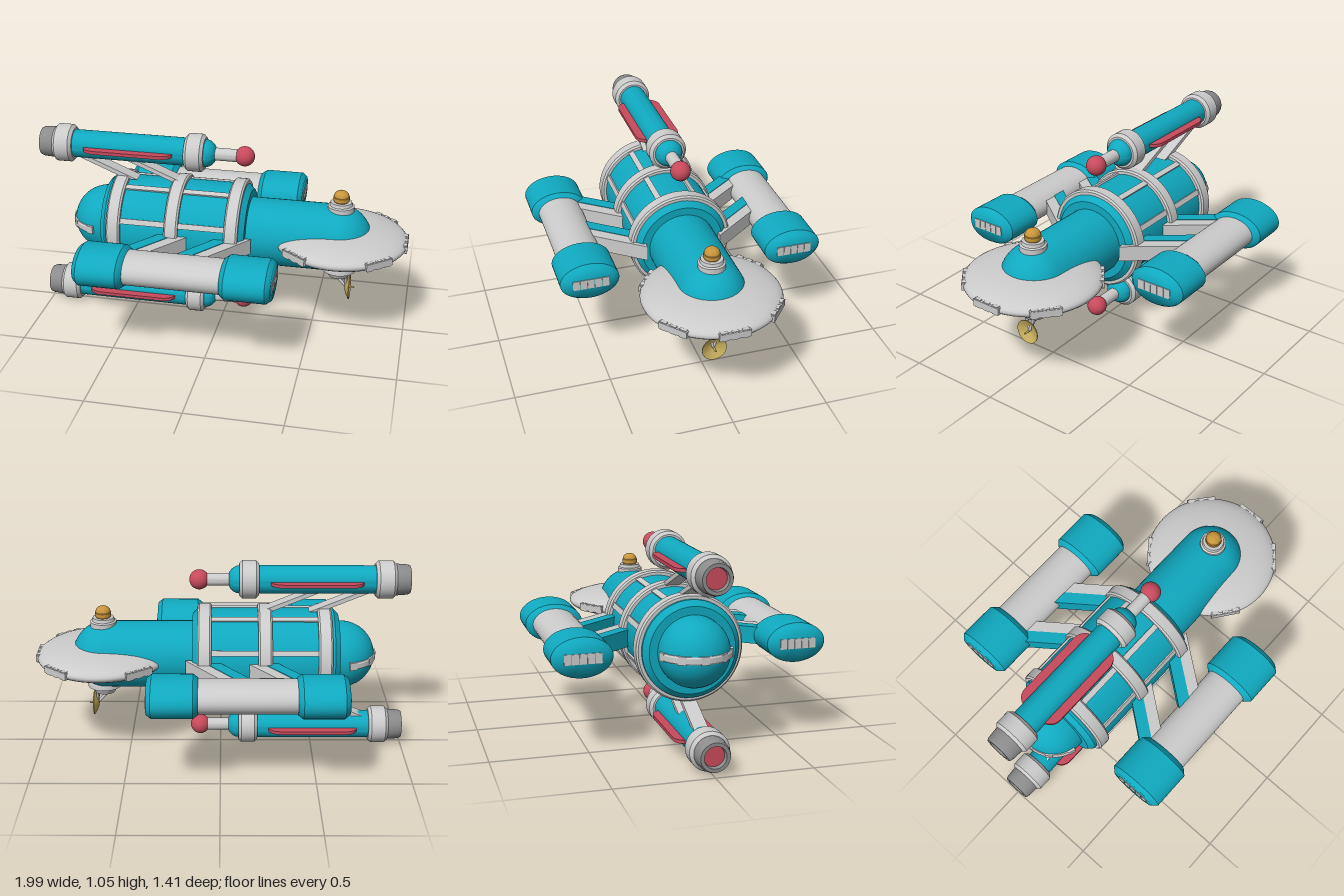
import * as THREE from 'three';
import { toCreasedNormals } from 'three/addons/utils/BufferGeometryUtils.js';

const mat = (color) => new THREE.MeshStandardMaterial({ color });
const GREY = mat(0xcccccc), DARK = mat(0x8c8c8c), TEAL = mat(0x10a9c0);
const RED = mat(0xc84a5c), GOLD = mat(0xc8963c);
const DISH = new THREE.MeshStandardMaterial({ color: 0xc8b060, side: THREE.DoubleSide });

function add(parent, name, geometry, material, x = 0, y = 0, z = 0) {
  const mesh = new THREE.Mesh(geometry, material);
  mesh.name = name;
  mesh.position.set(x, y, z);
  parent.add(mesh);
  return mesh;
}

// Turned solid from [height, radius] pairs, standing along y
function turned(profile, segments = 48) {
  const pts = profile.map(([h, r]) => new THREE.Vector2(r, h));
  return toCreasedNormals(new THREE.LatheGeometry(pts, segments), 0.5);
}
// The same, lying along x
const turnedX = (profile, segments) => turned(profile, segments).rotateZ(-Math.PI / 2);

// Quarter-round profile from the equator to the pole
function dome(at, r, length = r, n = 12) {
  return Array.from({ length: n + 1 }, (_, i) => {
    const a = (i / n) * Math.PI / 2;
    return [at + Math.sin(a) * length, i === n ? 0 : Math.cos(a) * r];
  });
}

// Chamfered solid of revolution between x0 and x1
const chamfered = (x0, x1, r, c) =>
  turnedX([[x0, 0], [x0, r - c], [x0 + c, r], [x1 - c, r], [x1, r - c], [x1, 0]]);

// Flat plate drawn in x and z, centred on y = 0
function plate(shape, thickness) {
  const g = new THREE.ExtrudeGeometry(shape, { depth: thickness, bevelEnabled: false, curveSegments: 10 });
  return g.translate(0, 0, -thickness / 2).rotateX(Math.PI / 2);
}

function quad(points) {
  return new THREE.Shape(points.map(([x, y]) => new THREE.Vector2(x, y)));
}

function buildHull(ship) {
  const hull = new THREE.Group();
  hull.name = 'hull';
  ship.add(hull);
  add(hull, 'mainHull', chamfered(-0.63, 0.15, 0.25, 0.028), TEAL);
  add(hull, 'foreHull', turnedX([[0.1, 0.18], ...dome(0.62, 0.18)]), TEAL);
  const rear = dome(0.65, 0.18).map(([x, r]) => [-x, r]).reverse();
  add(hull, 'rearDome', turnedX([...rear, [-0.6, 0.18]]), TEAL);
  for (const x of [-0.55, -0.235, 0.085]) {
    add(hull, 'hullRing', turnedX([[x - 0.037, 0.24], [x - 0.037, 0.266], [x - 0.028, 0.275],
      [x + 0.028, 0.275], [x + 0.037, 0.266], [x + 0.037, 0.24]], 64), GREY);
  }
  for (let i = 0; i < 8; i++) {
    const strip = add(hull, 'hullStrip', new THREE.BoxGeometry(0.64, 0.03, 0.03).translate(0, 0.244, 0), GREY, -0.235);
    strip.rotation.x = (i + 0.5) * Math.PI / 4;
  }
  // Band wrapped round the rear dome, with small raised blocks
  const section = [[0.165, -0.02], [0.188, -0.02], [0.193, -0.012], [0.193, 0.012], [0.188, 0.02], [0.165, 0.02]]
    .map(([r, y]) => new THREE.Vector2(r, y));
  const band = new THREE.LatheGeometry(section, 32, -Math.PI / 2 - 1.3, 2.6);
  add(hull, 'rearBand', toCreasedNormals(band, 0.5), GREY, -0.645);
  for (const a of [-1.25, -0.6, 0, 0.6, 1.25]) {
    const block = add(hull, 'bandBlock', new THREE.BoxGeometry(0.03, 0.042, 0.04), GREY,
      -0.645 - 0.178 * Math.cos(a), 0, 0.178 * Math.sin(a));
    block.rotation.y = a;
  }
}

function buildSaucer(ship) {
  const saucer = new THREE.Group();
  saucer.name = 'saucer';
  saucer.position.x = 0.635;
  ship.add(saucer);
  add(saucer, 'saucerDisc', new THREE.SphereGeometry(1, 64, 24).scale(0.357, 0.077, 0.357), GREY);
  // Rim pods, each a slim block with three raised ribs
  for (const deg of [0, 50, -50, 127, -127]) {
    const pod = new THREE.Group();
    pod.name = 'rimPod';
    pod.rotation.y = THREE.MathUtils.degToRad(deg);
    saucer.add(pod);
    add(pod, 'podBlock', new THREE.BoxGeometry(0.05, 0.036, 0.16), GREY, 0.332);
    for (const z of [-0.055, 0, 0.055]) {
      add(pod, 'podRib', new THREE.BoxGeometry(0.052, 0.046, 0.035), GREY, 0.329, 0, z);
    }
  }
}

function buildTurrets(ship) {
  const top = new THREE.Group();
  top.name = 'topTurret';
  top.position.set(0.63, 0, 0);
  ship.add(top);
  add(top, 'turretBase', turned([[0.15, 0.07], [0.19, 0.07], [0.195, 0.06], [0.212, 0.056], [0.212, 0]]), GREY);
  add(top, 'turretCollar', turned([[0.21, 0.036], [0.222, 0.043], [0.24, 0.043], [0.246, 0.036]]), GOLD);
  add(top, 'turretDome', turned([[0.236, 0.041], ...dome(0.243, 0.04, 0.032)]), GOLD);

  const bottom = new THREE.Group();
  bottom.name = 'sensorMount';
  bottom.position.set(0.635, 0, 0);
  ship.add(bottom);
  add(bottom, 'mountBase', turned([[-0.222, 0], [-0.222, 0.055], [-0.192, 0.07], [-0.185, 0.092],
    [-0.163, 0.092], [-0.14, 0.085]]), GREY);
  for (const [x, z] of [[-0.04, 0], [0.04, 0.03], [0.04, -0.03]]) {
    const path = new THREE.LineCurve3(new THREE.Vector3(x, -0.2, z), new THREE.Vector3(0.045, -0.293, 0));
    add(bottom, 'dishStrut', new THREE.TubeGeometry(path, 1, 0.008, 8), GREY);
  }
  // Shallow dish facing forward, with a central feed
  add(bottom, 'dish', turnedX([[0.035, 0], [0.038, 0.02], [0.046, 0.042], [0.06, 0.066], [0.065, 0.066],
    [0.053, 0.04], [0.045, 0.02], [0.043, 0]], 32), DISH, 0, -0.293);
  add(bottom, 'dishFeed', turnedX([[0.04, 0.005], [0.085, 0.005], [0.09, 0]], 12), DISH, 0, -0.293);
}

// Oval engine pod on +z with its two swept pylons
function buildSideEngine(name) {
  const g = new THREE.Group();
  g.name = name;
  const oval = (geo, rz, ry) => geo.scale(1, ry, rz);
  add(g, 'engineBody', oval(turnedX([[-0.4, 1], [0.12, 1]]), 0.118, 0.083), GREY, 0, 0, 0.55);
  for (const [x0, x1] of [[-0.64, -0.385], [0.11, 0.367]]) {
    const cap = turnedX([[x0, 0], [x0, 0.83], [x0 + 0.025, 1], [x1 - 0.025, 1], [x1, 0.83], [x1, 0]]);
    add(g, 'engineCap', oval(cap, 0.154, 0.102), TEAL, 0, 0, 0.55);
  }
  for (const x of [-0.64, 0.367]) {
    for (let i = 0; i < 5; i++) {
      add(g, 'grilleSlat', new THREE.BoxGeometry(0.008, 0.052, 0.035), GREY, x, 0, 0.55 + (i - 2) * 0.038);
    }
  }
  for (const x of [0, 0.3]) {
    const half = (a, b) => quad([[x - 0.27 + a, 0.2], [x - 0.27 + b, 0.2], [x - 0.5 + b, 0.5], [x - 0.5 + a, 0.5]]);
    add(g, 'pylonRear', plate(half(0, 0.08), 0.09), TEAL);
    add(g, 'pylonFront', plate(half(0.08, 0.155), 0.084), GREY);
  }
  return g;
}

// Round booster above the hull with its struts
function buildBooster(name) {
  const g = new THREE.Group();
  g.name = name;
  const b = new THREE.Group();
  b.name = 'booster';
  b.position.y = 0.425;
  g.add(b);
  add(b, 'boosterBody', turnedX([[-0.86, 0.075], [-0.15, 0.075]]), TEAL);
  add(b, 'boosterNose', turnedX([[-0.12, 0.076], ...dome(-0.1, 0.074, 0.064)]), TEAL);
  add(b, 'rearCollar', chamfered(-0.925, -0.817, 0.101, 0.016), GREY);
  add(b, 'frontCollar', chamfered(-0.203, -0.098, 0.101, 0.016), GREY);
  add(b, 'nozzle', turnedX([[-0.96, 0], [-0.96, 0.05], [-1, 0.056], [-1, 0.074], [-0.985, 0.08], [-0.9, 0.086]]), DARK);
  add(b, 'nozzleGlow', turnedX([[-0.975, 0], [-0.975, 0.053], [-0.95, 0.053]]), RED);
  add(b, 'probeRod', turnedX([[-0.06, 0.034], [0.09, 0.034]], 24), GREY);
  add(b, 'probeBall', new THREE.SphereGeometry(0.053, 32, 20), RED, 0.113);
  // Side fins with rounded corners
  const fin = new THREE.Shape();
  fin.moveTo(-0.69, -0.12);
  fin.lineTo(-0.33, -0.12);
  fin.quadraticCurveTo(-0.27, -0.115, -0.26, -0.06);
  fin.lineTo(-0.26, 0.06);
  fin.quadraticCurveTo(-0.27, 0.115, -0.33, 0.12);
  fin.lineTo(-0.69, 0.12);
  fin.quadraticCurveTo(-0.745, 0.115, -0.755, 0.06);
  fin.lineTo(-0.755, -0.06);
  fin.quadraticCurveTo(-0.745, -0.115, -0.69, -0.12);
  add(b, 'sideFin', plate(fin, 0.018), RED);
  // Slanted flat struts down to the hull
  for (const x of [0, 0.265]) {
    const side = quad([[x - 0.82, 0.375], [x - 0.76, 0.375], [x - 0.47, 0.255], [x - 0.53, 0.255]]);
    const geo = new THREE.ExtrudeGeometry(side, { depth: 0.076, bevelEnabled: false });
    add(g, 'boosterStrut', geo.translate(0, 0, -0.038), GREY);
  }
  return g;
}

export function createModel() {
  const model = new THREE.Group();
  model.name = 'spaceship';
  const ship = new THREE.Group();
  ship.name = 'ship';
  ship.position.y = 0.528;
  model.add(ship);
  buildHull(ship);
  buildSaucer(ship);
  buildTurrets(ship);
  const right = buildSideEngine('farEngine');
  const lower = buildBooster('lowerBooster');
  right.rotation.x = lower.rotation.x = Math.PI;
  ship.add(buildSideEngine('nearEngine'), right, buildBooster('upperBooster'), lower);
  return model;
}
